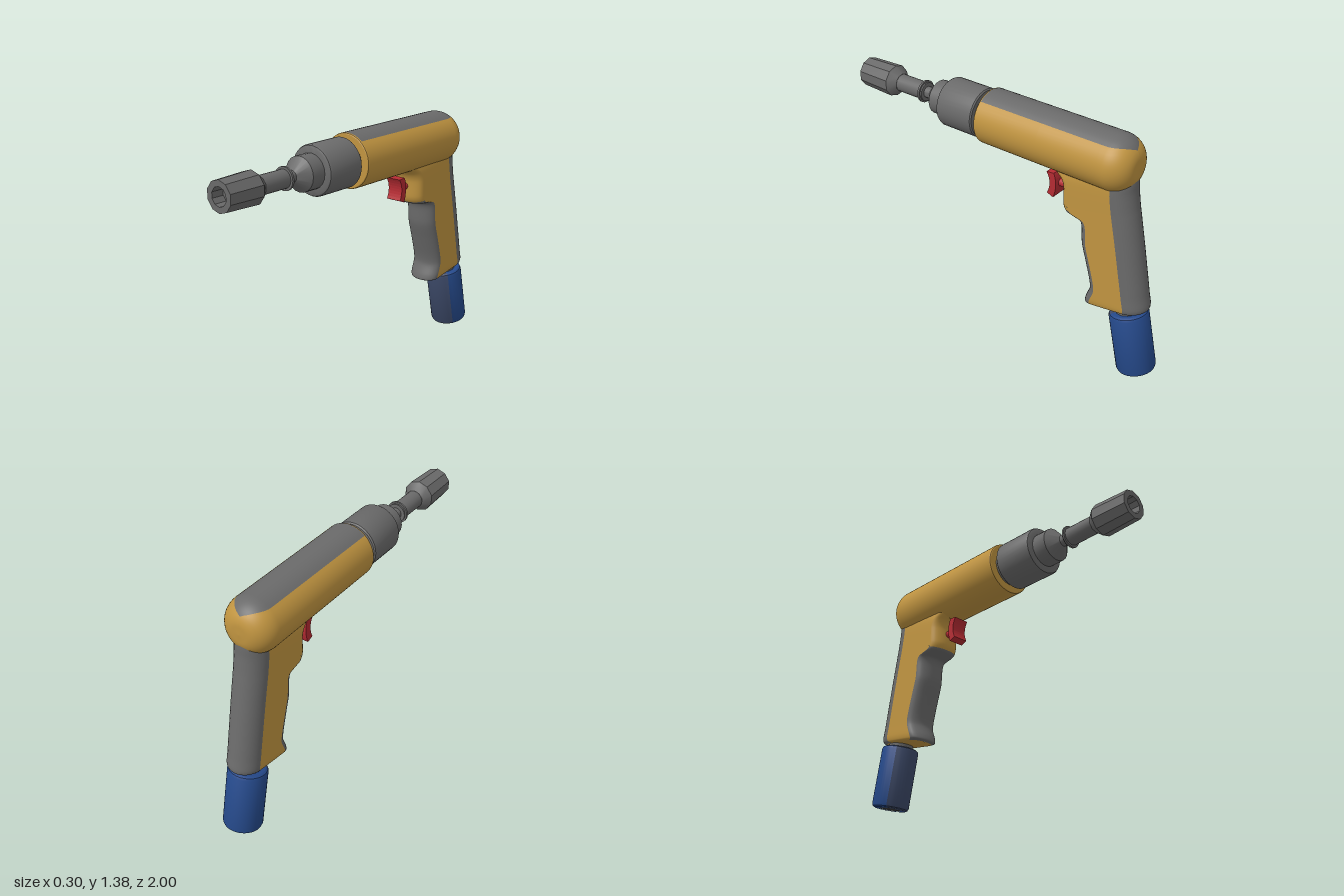
import * as THREE from 'three';
import { mergeVertices, toCreasedNormals } from 'three/addons/utils/BufferGeometryUtils.js';

const paint = (name, color) => {
  const m = new THREE.MeshStandardMaterial({ color });
  m.name = name;
  return m;
};

// Surface from a rule p(u, v); its outside is on the side of du x dv
function grid(nu, nv, rule) {
  const pos = [], idx = [];
  for (let j = 0; j <= nv; j++) for (let i = 0; i <= nu; i++) pos.push(...rule(i / nu, j / nv));
  for (let j = 0; j < nv; j++) for (let i = 0; i < nu; i++) {
    const a = j * (nu + 1) + i, d = a + nu + 1;
    idx.push(a, a + 1, d, a + 1, d + 1, d);
  }
  const g = new THREE.BufferGeometry();
  g.setAttribute('position', new THREE.Float32BufferAttribute(pos, 3));
  g.setIndex(idx);
  g.computeVertexNormals();
  return g;
}

// Turned part from [radius, height] pairs, edges kept sharp
function turned(profile, sides, start = 0, length = Math.PI * 2) {
  const g = new THREE.LatheGeometry(profile.map(([r, y]) => new THREE.Vector2(r, y)), sides, start, length);
  g.deleteAttribute('uv');
  g.deleteAttribute('normal');
  return toCreasedNormals(mergeVertices(g), 0.5);
}

export function createModel() {
  const model = new THREE.Group();
  model.name = 'airDrill';
  const grey = paint('grey rubber and steel', 0x6a6a6a);
  const yellow = paint('ochre housing', 0xc09440);
  const blue = paint('blue fitting', 0x25498a);
  const dullBlue = paint('dull blue', 0x3c4968);
  const red = paint('red trigger', 0xb42b32);
  const dark = paint('dark inlet', 0x383838);
  const add = (name, geometry, material, parent = model) => {
    const mesh = new THREE.Mesh(geometry, material);
    mesh.name = name;
    parent.add(mesh);
    return mesh;
  };

  // Barrel: a round housing with a domed back and a grey strip along the top
  const axisY = 1.237;
  const barrel = [[0.152, 0.09], [0.152, -0.3], [0.152, -0.66]];
  for (let i = 0; i <= 18; i++) {
    const a = (i / 18) * Math.PI / 2;
    barrel.push([0.04 + 0.112 * Math.cos(a), -0.69 - 0.125 * Math.sin(a)]);
  }
  barrel.push([0, -0.817]);
  const stripAngle = z => (z > -0.68 ? 0.68 : 0.68 * Math.sqrt(Math.max(0, 1 - ((z + 0.68) / 0.115) ** 2)));
  const barrelPart = from => (u, v) => {
    const [r, z] = barrel[Math.round(v * (barrel.length - 1))];
    const w = stripAngle(z);
    const a = from === 'top' ? -w + 2 * w * u : w + (2 * Math.PI - 2 * w) * u;
    return [r * Math.sin(a), axisY + r * Math.cos(a), z];
  };
  add('barrelTopStrip', grid(12, barrel.length - 1, barrelPart('top')), grey);
  add('barrelHousing', grid(40, barrel.length - 1, barrelPart('rest')), yellow);

  // Everything turned about the barrel axis
  const onAxis = (name, profile, sides, material) => {
    const mesh = add(name, turned(profile, sides).rotateX(Math.PI / 2), material);
    mesh.position.y = axisY;
  };
  onAxis('barrelFrontRim', [[0.152, 0.088], [0.15, 0.097], [0.145, 0.1], [0.08, 0.1]], 40, yellow);
  onAxis('collar', [[0.105, 0.09], [0.105, 0.13], [0.13, 0.13], [0.137, 0.137], [0.137, 0.36],
    [0.132, 0.37], [0.122, 0.375], [0.08, 0.375]], 36, grey);
  onAxis('chuckNose', [[0.095, 0.37], [0.095, 0.46], [0.032, 0.515], [0.032, 0.57]], 20, grey);
  onAxis('bitRing', [[0, 0.553], [0.053, 0.553], [0.053, 0.562], [0.063, 0.562], [0.063, 0.574], [0.04, 0.574]], 20, grey);
  onAxis('bitShank', [[0.05, 0.57], [0.05, 0.75]], 20, grey);
  onAxis('socket', [[0.04, 0.742], [0.052, 0.745], [0.09, 0.79], [0.09, 0.8], [0.083, 1], [0.05, 1], [0.05, 0.93], [0, 0.93]], 10, grey);

  // Handle: rounded sections, each given by front z, y, back z, y and half width
  const sections = [
    [-0.595, 0.368, -0.915, 0.42, 0.075], [-0.575, 0.375, -0.935, 0.43, 0.089], [-0.58, 0.405, -0.938, 0.455, 0.095],
    [-0.602, 0.47, -0.926, 0.51, 0.095], [-0.595, 0.53, -0.915, 0.57, 0.095], [-0.565, 0.64, -0.894, 0.68, 0.095],
    [-0.537, 0.74, -0.875, 0.78, 0.095], [-0.53, 0.84, -0.857, 0.87, 0.095], [-0.515, 0.874, -0.85, 0.905, 0.095],
    [-0.475, 0.883, -0.843, 0.94, 0.095], [-0.432, 0.893, -0.836, 0.975, 0.095], [-0.413, 0.93, -0.828, 1.015, 0.095],
    [-0.41, 1.03, -0.815, 1.1, 0.095], [-0.39, 1.075, -0.812, 1.15, 0.093], [-0.34, 1.11, -0.806, 1.21, 0.085],
  ];
  const curve = (z, y) => new THREE.CatmullRomCurve3(
    sections.map(s => new THREE.Vector3(s[4], s[y], s[z])), false, 'catmullrom', 0.4);
  const front = curve(0, 1), back = curve(2, 3);
  const frontDepth = 0.055, backDepth = 0.1;
  // Point on a section; sides are 0 front, 1 left, 2 back, 3 right
  const section = (side, s, t) => {
    const F = front.getPoint(t), B = back.getPoint(t), w = F.x;
    const length = F.distanceTo(B);
    const a = (s - 0.5) * Math.PI;
    const p = length - frontDepth, q = backDepth;
    const [x, along] = [
      [w * Math.sin(a), p + frontDepth * Math.cos(a)],
      [w, p + (q - p) * s],
      [-w * Math.sin(a), q - backDepth * Math.cos(a)],
      [-w, q + (p - q) * s],
    ][side];
    const k = along / length;
    return [x, B.y + (F.y - B.y) * k, B.z + (F.z - B.z) * k];
  };
  const strip = (name, side, t0, t1, material) => add(name,
    grid(side % 2 ? 4 : 16, 60, (u, v) => section(side, u, t0 + (t1 - t0) * v)), material);
  const guard = 10.3 / 14;
  strip('gripFront', 0, 0, guard, grey);
  strip('triggerHousingFront', 0, guard, 1, yellow);
  strip('gripLeft', 1, 0, 1, yellow);
  strip('gripBack', 2, 0, 1, grey);
  strip('gripRight', 3, 0, 1, yellow);
  add('gripBottom', grid(48, 1, (u, v) => {
    const side = Math.min(3, Math.floor(u * 4));
    const p = section(side, u * 4 - side, 0);
    return v ? p : [0, 0.394, -0.755];
  }), yellow);

  // Trigger: a curved finger plate on a short stem
  const plate = new THREE.Shape();
  plate.moveTo(-0.303, 1.06);
  plate.quadraticCurveTo(-0.342, 1.0, -0.308, 0.935);
  plate.lineTo(-0.348, 0.92);
  plate.quadraticCurveTo(-0.378, 1.0, -0.348, 1.064);
  const plateShape = new THREE.ExtrudeGeometry(plate, { depth: 0.094, bevelEnabled: false, curveSegments: 8 });
  add('triggerPlate', plateShape.translate(0, 0, -0.047).rotateY(-Math.PI / 2), red);
  const stem = add('triggerStem', new THREE.CylinderGeometry(0.022, 0.022, 0.09, 16).rotateX(Math.PI / 2), red);
  stem.position.set(0, 0.997, -0.39);

  // Air inlet below the handle, tilted along it
  const inlet = new THREE.Group();
  inlet.name = 'airInlet';
  inlet.position.set(0, 0.03, -0.9);
  inlet.rotation.x = 0.213;
  model.add(inlet);
  const sleeve = [[0.06, 0], [0.092, 0], [0.103, 0.006], [0.108, 0.02], [0.108, 0.345], [0.103, 0.358], [0.092, 0.364], [0, 0.364]];
  const half = 0.87;
  add('inletSleeve', turned(sleeve, 28, half, Math.PI * 2 - 2 * half), blue, inlet);
  add('inletSleeveFront', turned(sleeve, 10, -half, 2 * half), dullBlue, inlet);
  add('inletOpening', new THREE.CylinderGeometry(0.062, 0.062, 0.01, 12), dark, inlet).position.y = 0.006;
  add('inletNeck', new THREE.CylinderGeometry(0.07, 0.07, 0.08, 24), grey, inlet).position.y = 0.39;

  return model;
}
